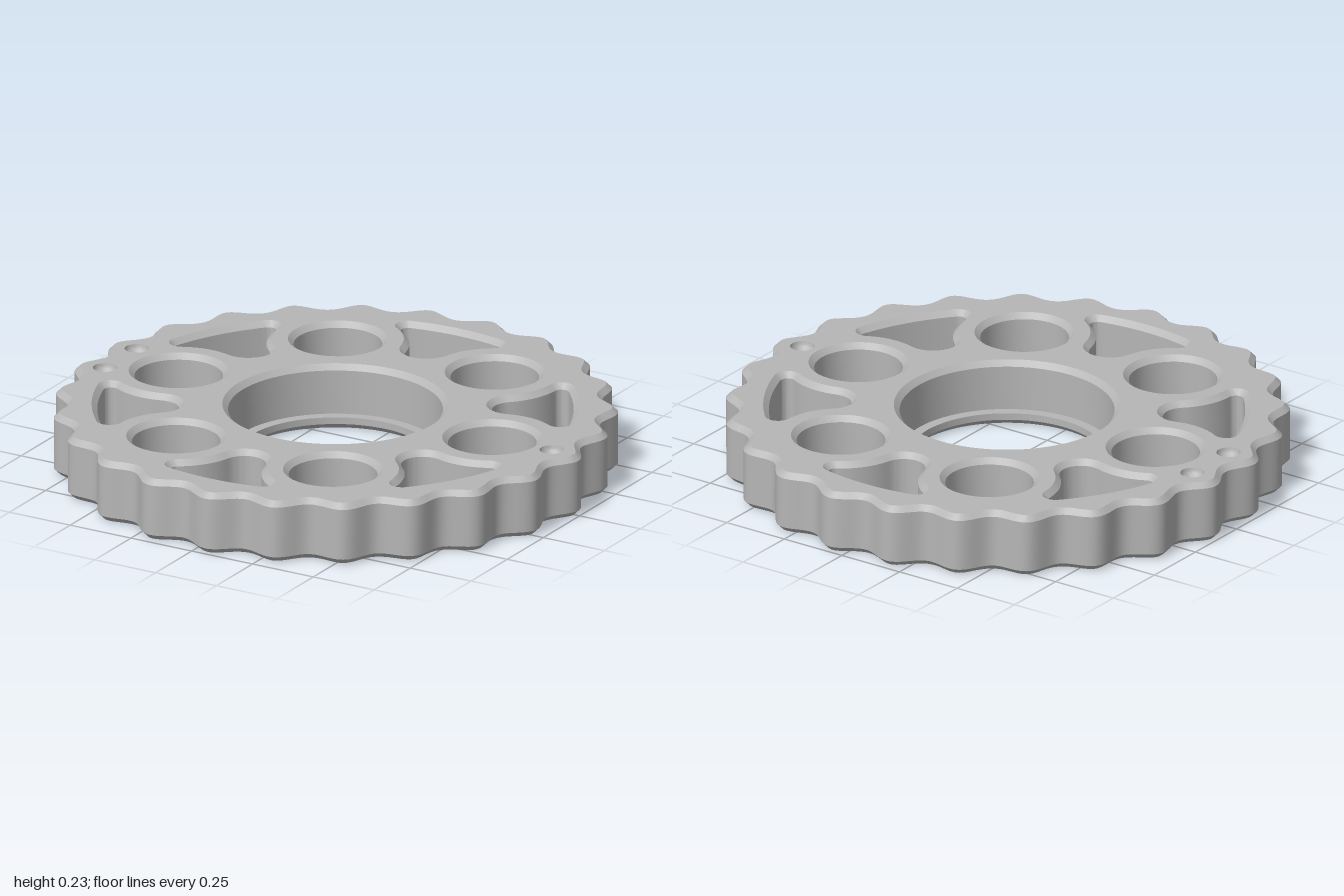
import * as THREE from 'three';
import { toCreasedNormals } from 'three/addons/utils/BufferGeometryUtils.js';

const H = 0.228;      // disc thickness
const B = 0.02;       // chamfer
const LOBES = 25;
const V = (x, y) => new THREE.Vector2(x, y);

// Points of an arc, angles in radians
function arc(cx, cy, r, a0, a1, n) {
  return Array.from({ length: n + 1 }, (_, i) => {
    const a = a0 + (a1 - a0) * i / n;
    return V(cx + r * Math.cos(a), cy + r * Math.sin(a));
  });
}

const circle = (cx, cy, r, n) => arc(cx, cy, r, 0, Math.PI * 2, n).slice(0, n);

// Wavy rim, moved along its normal by d
function rimLoop(d) {
  const n = LOBES * 20;
  return Array.from({ length: n }, (_, i) => {
    const t = i / n * Math.PI * 2;
    const r = 0.974 + 0.026 * Math.cos(LOBES * t);
    const dr = -0.026 * LOBES * Math.sin(LOBES * t);
    const c = Math.cos(t), s = Math.sin(t), len = Math.hypot(r, dr);
    return V(r * c + d * (dr * s + r * c) / len, r * s + d * (r * s - dr * c) / len);
  });
}

// Three-cornered window between two round holes, widened by d
function windowLoop(turn, d) {
  const T = V(0, 0.63), C = V(-0.1743, 0.796), N = V(-0.3225, 0.5586);
  const dir = (p, q) => Math.atan2(q.y - p.y, q.x - p.x);
  const full = Math.PI * 2, up = Math.PI / 2;
  const out = dir(V(0, 0), C);
  const half = [
    ...arc(0, 0, 0.842 + d, up, out, 8),
    ...arc(C.x, C.y, 0.027 + d, out, dir(C, N) + full, 12).slice(1),
    ...arc(N.x, N.y, 0.253 - d, dir(N, C), dir(N, T), 12).slice(1),
    ...arc(T.x, T.y, 0.077 + d, dir(T, N) + full, up * 3, 12).slice(1),
  ];
  const mirrored = half.slice(1, -1).reverse().map((p) => V(-p.x, p.y));
  return [...half, ...mirrored].map((p) => p.rotateAround(V(0, 0), turn));
}

// Skin between stacked loops, given from bottom to top as [points, height]
function wall(levels, inward) {
  const pos = [], idx = [];
  const n = levels[0][0].length;
  for (const [pts, y] of levels) for (const p of pts) pos.push(p.x, y, -p.y);
  for (let k = 0; k < levels.length - 1; k++) {
    for (let i = 0; i < n; i++) {
      const a = k * n + i, b = k * n + (i + 1) % n, c = b + n, d = a + n;
      if (inward) idx.push(a, c, b, a, d, c);
      else idx.push(a, b, c, a, c, d);
    }
  }
  const g = new THREE.BufferGeometry();
  g.setAttribute('position', new THREE.Float32BufferAttribute(pos, 3));
  g.setIndex(idx);
  return toCreasedNormals(g, 0.6);
}

// Chamfered wall of an opening that runs through the disc
const through = (loop) =>
  wall([[loop(B), 0], [loop(0), B], [loop(0), H - B], [loop(B), H]], true);

export function createModel() {
  const group = new THREE.Group();
  group.name = 'cycloidalDisc';
  const metal = new THREE.MeshStandardMaterial({ color: 0xb6b6b6 });
  metal.name = 'grey metal';
  const add = (name, geometry) => {
    const m = new THREE.Mesh(geometry, metal);
    m.name = name;
    m.position.x = -0.004;
    group.add(m);
  };

  // Lobed outer rim
  add('lobedRim', wall([[rimLoop(-B), 0], [rimLoop(0), B], [rimLoop(0), H - B], [rimLoop(-B), H]], false));

  // Centre bore with a lip at the bottom
  const ring = (r) => circle(0, 0, r, 96);
  add('centreBore', wall([
    [ring(0.362), 0], [ring(0.342), B], [ring(0.342), 0.045],
    [ring(0.38), 0.045], [ring(0.38), H - B], [ring(0.4), H],
  ], true));

  // Six round holes and six windows
  const openings = [];
  for (let k = 0; k < 6; k++) {
    const a = k * Math.PI / 3;
    const hole = (d) => circle(0.645 * Math.cos(a), 0.645 * Math.sin(a), 0.157 + d, 48);
    const win = (d) => windowLoop(a, d);
    add('roundHole', through(hole));
    add('window', through(win));
    openings.push(hole(B), win(B));
  }

  // Round marker dimples on both faces
  for (const [x, y] of [[0.889, 0], [-0.883, 0.11], [-0.883, -0.11]]) {
    const rise = [0, 1, 2, 3, 4, 5, 6].map((i) => {
      const t = Math.max(i / 6, 0.01) * Math.PI / 2;
      return [circle(x, y, 0.043 * Math.sin(t), 24), 0.036 * Math.cos(t)];
    });
    add('topDimple', wall(rise.map(([p, depth]) => [p, H - depth]), true));
    add('bottomDimple', wall([...rise].reverse(), true));
    openings.push(circle(x, y, 0.043, 24));
  }

  // Flat faces, pierced by every opening
  const face = (boreRadius) => {
    const shape = new THREE.Shape(rimLoop(-B));
    shape.holes = [ring(boreRadius), ...openings].map((p) => new THREE.Path(p));
    return new THREE.ShapeGeometry(shape);
  };
  add('topFace', face(0.4).rotateX(-Math.PI / 2).translate(0, H, 0));
  // The outline mirrors across z, so turning it over keeps it aligned
  add('bottomFace', face(0.362).rotateX(Math.PI / 2));
  return group;
}
